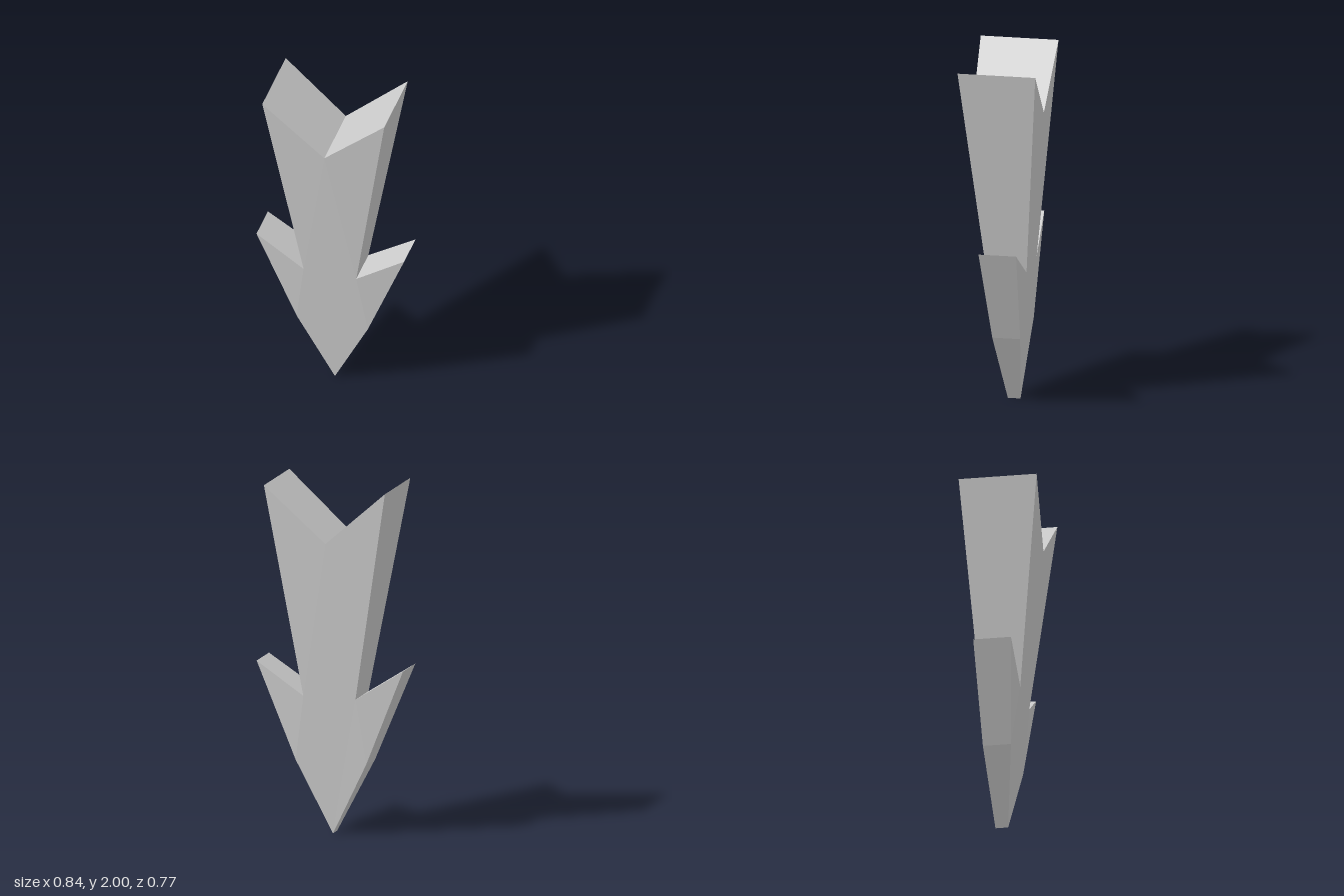
import * as THREE from 'three';

// Right half of the arrow outline, from tip to tail notch:
// [half width, height, front depth, back depth]
const HALF = [
  [0, 0, 0, -0.072],            // 0 tip
  [0.208, 0.415, 0.05, -0.109], // 1 head shoulder
  [0.432, 0.97, 0.087, -0.127], // 2 barb
  [0.154, 0.79, 0.094, -0.135], // 3 inner corner
  [0.357, 2, 0.22, -0.222],     // 4 tail corner
  [0, 1.685, 0.2, -0.205],      // 5 tail notch
];
// Triangles that fill the half outline
const FILL = [[0, 1, 3], [1, 2, 3], [0, 3, 5], [3, 4, 5]];

function arrowGeometry() {
  const out = [];
  const tri = (a, b, c, flip) => out.push(...a, ...(flip ? c : b), ...(flip ? b : c));

  for (const side of [1, -1]) {
    const mirrored = side < 0;
    const front = HALF.map(([w, y, f]) => [side * w, y, f]);
    const back = HALF.map(([w, y, , b]) => [side * w, y, b]);

    // front and back faces
    for (const [a, b, c] of FILL) {
      tri(front[a], front[b], front[c], mirrored);
      tri(back[a], back[b], back[c], !mirrored);
    }
    // rim between the faces
    for (let i = 0; i < HALF.length - 1; i++) {
      tri(front[i], back[i], back[i + 1], mirrored);
      tri(front[i], back[i + 1], front[i + 1], mirrored);
    }
  }
  const geometry = new THREE.BufferGeometry();
  geometry.setAttribute('position', new THREE.Float32BufferAttribute(out, 3));
  geometry.computeVertexNormals();
  return geometry;
}

export function createModel() {
  const group = new THREE.Group();
  group.name = 'downArrow';
  const material = new THREE.MeshStandardMaterial({ color: 0xcccccc, flatShading: true });
  const arrow = new THREE.Mesh(arrowGeometry(), material);
  arrow.name = 'arrowBody';
  arrow.rotation.y = -0.616; // turned about the vertical
  group.add(arrow);
  return group;
}
